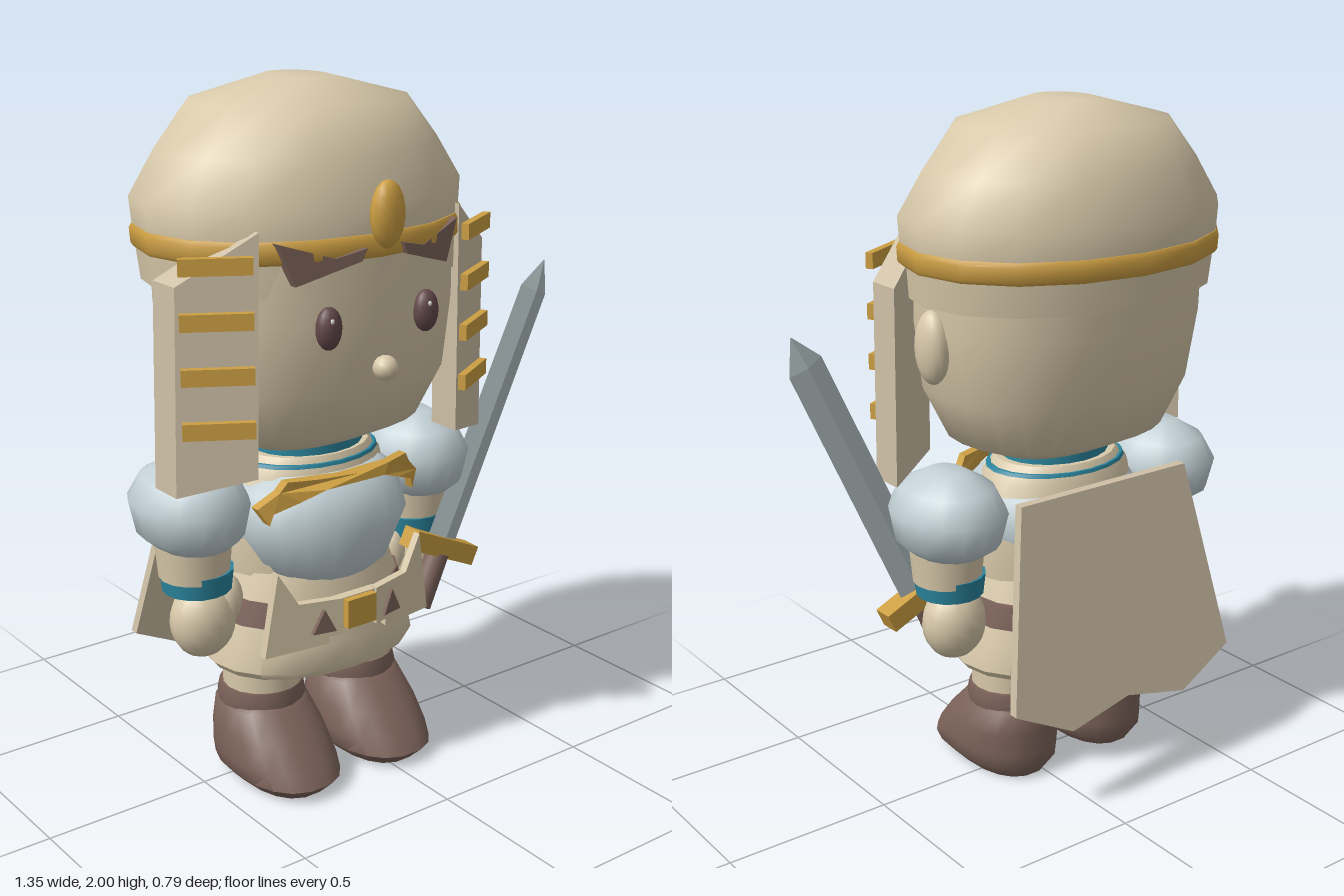
import * as THREE from 'three';
import { toCreasedNormals } from 'three/addons/utils/BufferGeometryUtils.js';

const mat = (name, color, side = THREE.FrontSide) => {
  const m = new THREE.MeshStandardMaterial({ color, side });
  m.name = name;
  return m;
};

// Closed solid from horizontal rings [y, half width, front z, back z]
function loft(rings, n = 20, power = 1, crease = 0.75) {
  const pos = [], idx = [];
  const bend = v => Math.sign(v) * Math.abs(v) ** power;
  for (const [y, rx, f, b] of rings) {
    for (let i = 0; i < n; i++) {
      const a = (i / n) * Math.PI * 2;
      pos.push(rx * bend(Math.cos(a)), y, (f + b) / 2 + ((f - b) / 2) * bend(Math.sin(a)));
    }
  }
  rings.slice(1).forEach((_, r) => {
    for (let i = 0; i < n; i++) {
      const j = (i + 1) % n, l = r * n, u = l + n;
      idx.push(l + i, u + i, l + j, u + i, u + j, l + j);
    }
  });
  const first = rings[0], last = rings[rings.length - 1], c = pos.length / 3, t = c - n;
  pos.push(0, first[0], (first[2] + first[3]) / 2, 0, last[0], (last[2] + last[3]) / 2);
  for (let i = 0; i < n; i++) {
    const j = (i + 1) % n;
    idx.push(c, i, j, c + 1, t + j, t + i);
  }
  const g = new THREE.BufferGeometry();
  g.setAttribute('position', new THREE.Float32BufferAttribute(pos, 3));
  g.setIndex(idx);
  return toCreasedNormals(g, crease);
}

// Flat outline given thickness behind a front surface z = front(|x|, y)
function plate(points, s, depth, front) {
  const shape = new THREE.Shape(points.map(([x, y]) => new THREE.Vector2(x * s, y)));
  const g = new THREE.ExtrudeGeometry(shape, { depth, bevelEnabled: false });
  const p = g.attributes.position;
  for (let i = 0; i < p.count; i++) {
    p.setZ(i, p.getZ(i) - depth + front(Math.abs(p.getX(i)), p.getY(i)));
  }
  g.computeVertexNormals();
  return g;
}

const both = half => [...half, ...half.slice().reverse().filter(([x]) => x > 0).map(([x, y]) => [-x, y])];

export function createModel() {
  const cream = mat('cream', 0xd8c9aa);
  const cloth = mat('pale cloth', 0xcfc0a6);
  const gold = mat('gold', 0xcd9f43);
  const brown = mat('brown leather', 0x7c635a);
  const dark = mat('dark eye brown', 0x63484a);
  const steel = mat('pale steel', 0xc2d0d5);
  const blade = mat('blade steel', 0xb4c1c3);
  const teal = mat('teal', 0x2b869f);
  const white = mat('white', 0xf4f0ec);

  const model = new THREE.Group();
  model.name = 'littleKnight';
  const body = new THREE.Group();
  body.name = 'figure';
  body.position.x = -0.125;
  model.add(body);

  const add = (name, geo, m, p = [0, 0, 0], parent = body) => {
    const mesh = new THREE.Mesh(geo, m);
    mesh.name = name;
    mesh.position.set(...p);
    parent.add(mesh);
    return mesh;
  };
  const ball = (name, m, p, r, seg = 16) => {
    const mesh = add(name, new THREE.SphereGeometry(1, seg, Math.ceil(seg * 0.7)), m, p);
    mesh.scale.set(...r);
    return mesh;
  };

  // Head and cap
  add('head', loft([
    [1.0, 0.2, 0.14, -0.14], [1.055, 0.33, 0.25, -0.25], [1.2, 0.4, 0.315, -0.31],
    [1.4, 0.43, 0.327, -0.335], [1.58, 0.43, 0.327, -0.345],
  ], 24, 0.85), cream);
  add('cap', loft([
    [1.475, 0.465, 0.337, -0.372], [1.62, 0.482, 0.337, -0.385], [1.7, 0.49, 0.335, -0.387],
    [1.82, 0.412, 0.29, -0.345], [1.94, 0.315, 0.235, -0.29], [2.0, 0.08, 0.07, -0.14],
  ], 16, 0.96, 1), cream);
  add('capBand', loft([
    [1.565, 0.48, 0.342, -0.387], [1.575, 0.487, 0.35, -0.395],
    [1.615, 0.49, 0.35, -0.397], [1.627, 0.484, 0.342, -0.389],
  ], 16, 0.96), gold);
  ball('capGem', gold, [0, 1.68, 0.362], [0.052, 0.09, 0.035], 12);
  ball('nose', cream, [0, 1.27, 0.358], [0.035, 0.034, 0.035], 12);

  // Neck and torso
  add('collar', loft([[0.94, 0.17, 0.14, -0.14], [1.03, 0.165, 0.14, -0.14]]), teal);
  add('torso', loft([
    [0.55, 0.24, 0.18, -0.18], [0.75, 0.27, 0.2, -0.2],
    [0.93, 0.235, 0.17, -0.18], [0.975, 0.19, 0.15, -0.155],
  ]), cream);
  add('collarStripe', loft([[0.948, 0.222, 0.168, -0.175], [0.958, 0.216, 0.165, -0.172]]), teal);
  add('breastplate', loft([
    [0.575, 0.12, 0.15, -0.1], [0.65, 0.22, 0.235, -0.19], [0.78, 0.275, 0.275, -0.22],
    [0.88, 0.255, 0.245, -0.205], [0.93, 0.2, 0.19, -0.15],
  ], 20, 0.95, 1.1), steel);
  add('chestCollar', plate(both([
    [0, 0.942], [0.12, 0.945], [0.205, 0.945], [0.225, 0.915], [0.278, 0.87],
    [0.25, 0.822], [0.24, 0.855], [0.17, 0.885], [0.1, 0.912], [0, 0.916],
  ].slice(0, 9)).concat([]), 1, 0.03, x => 0.245 - x * x * 1.15), gold);

  // Skirt, belt and buckle
  add('skirt', loft([
    [0.35, 0.315, 0.23, -0.225], [0.37, 0.33, 0.24, -0.235], [0.44, 0.315, 0.235, -0.23],
    [0.56, 0.275, 0.215, -0.205], [0.66, 0.24, 0.19, -0.18],
  ], 20, 0.92), cream);
  add('belt', loft([[0.5, 0.3, 0.228, -0.225], [0.57, 0.283, 0.218, -0.225]], 20, 0.92), brown);
  add('beltFront', new THREE.BoxGeometry(0.15, 0.09, 0.03), cream, [0, 0.535, 0.226]);
  add('buckle', new THREE.BoxGeometry(0.1, 0.085, 0.03), gold, [0, 0.535, 0.248]);

  // Shield on the back
  add('backShield', plate(both([
    [0, 0.93], [0.3, 0.93], [0.4, 0.36], [0.21, 0.265], [0, 0.31],
  ].slice(1)), 1, 0.028, (x, y) => -0.21 + (y - 0.93) * 0.19), cloth);

  for (const s of [1, -1]) {
    const side = s > 0 ? 'left' : 'right';
    const flapZ = x => 0.26 - 0.59 * (x - 0.33);

    // Face
    ball(side + 'Ear', cream, [0.43 * s, 1.355, -0.008], [0.045, 0.105, 0.06]);
    ball(side + 'Eye', dark, [0.162 * s, 1.395, 0.326], [0.038, 0.058, 0.03]);
    ball(side + 'EyeGlint', white, [0.162 * s - 0.008, 1.42, 0.353], [0.006, 0.007, 0.004], 8);
    add(side + 'Brow', plate([
      [0.295, 1.625], [0.25, 1.512], [0.075, 1.565], [0.06, 1.598], [0.145, 1.577],
    ], s, 0.05, x => 0.375 - 0.28 * x), brown);

    // Hanging cap flap with bars
    add(side + 'Flap', plate([[0.33, 1.655], [0.515, 1.52], [0.525, 0.955], [0.34, 1.0]], s, 0.105, flapZ), cloth);
    for (const y of [1.575, 1.432, 1.288, 1.143]) {
      const bar = add(side + 'FlapBar', new THREE.BoxGeometry(0.19, 0.045, 0.022), gold, [0.433 * s, y, 0.216]);
      bar.rotation.y = 0.53 * s;
    }

    // Arm
    add(side + 'Pauldron', loft([
      [0.755, 0.1, 0.12, -0.13], [0.79, 0.14, 0.16, -0.18], [0.88, 0.157, 0.18, -0.205],
      [0.95, 0.125, 0.14, -0.16], [0.995, 0.05, 0.05, -0.07],
    ], 16, 0.95, 1.2), steel, [0.392 * s, 0, 0]);
    add(side + 'Sleeve', new THREE.CylinderGeometry(0.112, 0.1, 0.13, 16), cream, [0.388 * s, 0.725, 0]);
    add(side + 'Cuff', new THREE.CylinderGeometry(0.105, 0.098, 0.062, 16), teal, [0.38 * s, 0.648, 0]);
    ball(side + 'Hand', cream, [0.365 * s, 0.518, 0.002], [0.098, 0.112, 0.085]);
    ball(side + 'Thumb', cream, [0.295 * s, 0.57, 0.03], [0.04, 0.075, 0.04], 12);

    // Front skirt panel with stud
    const panelZ = x => 0.264 - 0.22 * x;
    add(side + 'SkirtPanel', plate([
      [0.25, 0.69], [0.19, 0.59], [0.06, 0.585], [0.06, 0.475], [0.1, 0.475], [0.1, 0.455], [0.29, 0.445],
    ], s, 0.025, panelZ), cream);
    add(side + 'PanelStud', plate([[0.12, 0.565], [0.155, 0.495], [0.085, 0.495]], s, 0.02, x => panelZ(x) + 0.012), brown);

    // Leg and boot
    add(side + 'Leg', new THREE.CylinderGeometry(0.115, 0.115, 0.18, 16), cream, [0.167 * s, 0.32, 0]);
    add(side + 'Boot', loft([
      [0, 0.11, 0.25, -0.12], [0.04, 0.148, 0.292, -0.145], [0.08, 0.152, 0.265, -0.145],
      [0.15, 0.147, 0.205, -0.142], [0.22, 0.128, 0.135, -0.135], [0.24, 0.11, 0.11, -0.11],
    ], 18, 0.85, 0.9), brown, [0.167 * s, 0, 0]);
    add(side + 'BootCuff', loft([
      [0.215, 0.125, 0.125, -0.13], [0.24, 0.13, 0.125, -0.132], [0.277, 0.122, 0.118, -0.125],
    ], 18), brown, [0.167 * s, 0, 0]);
  }

  // Sword held in the left hand
  const sword = new THREE.Group();
  sword.name = 'sword';
  sword.position.set(0.415, 0.58, 0.105);
  sword.rotation.set(0.02, 0, -0.426);
  body.add(sword);
  add('blade', loft([
    [0, 0.058, 0.018, -0.018], [0.82, 0.055, 0.016, -0.016], [0.915, 0.002, 0.001, -0.001],
  ], 4, 1, 0.1), blade, [0, 0, 0], sword);
  add('guard', new THREE.BoxGeometry(0.26, 0.06, 0.065), gold, [0, 0, 0], sword);
  add('grip', new THREE.CylinderGeometry(0.035, 0.038, 0.17, 10), brown, [0, -0.105, 0.005], sword);

  return model;
}
